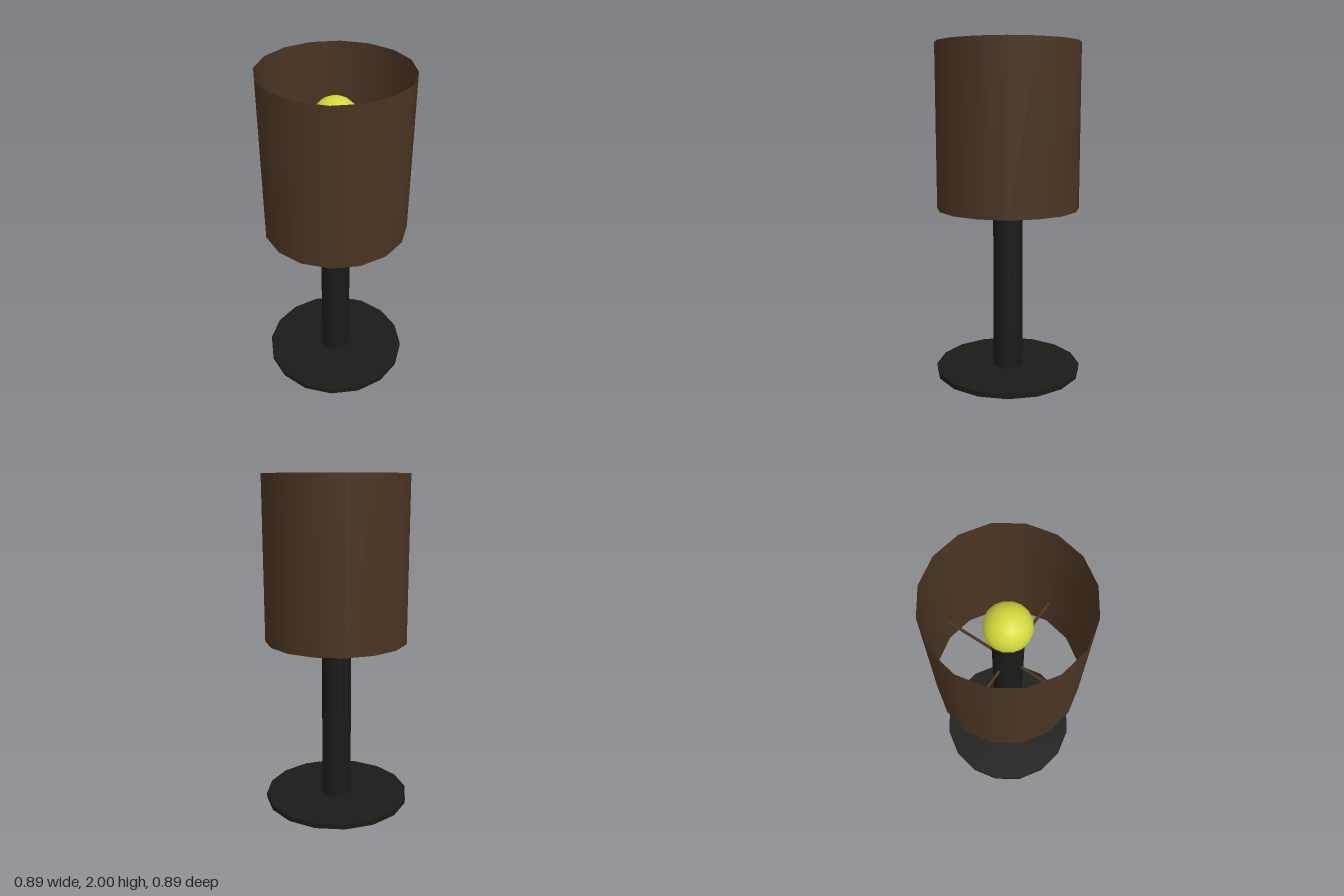
import * as THREE from 'three';

const SIDES = 16;

export function createModel() {
  const model = new THREE.Group();
  const black = new THREE.MeshStandardMaterial({ color: 0x1a1a19 });
  const brown = new THREE.MeshStandardMaterial({ color: 0x4a3422 });
  const shadeMaterial = new THREE.MeshStandardMaterial({ color: 0x4a3422, side: THREE.DoubleSide });
  const yellow = new THREE.MeshStandardMaterial({ color: 0xd2d83c });

  function add(name, geometry, material, y) {
    const mesh = new THREE.Mesh(geometry, material);
    mesh.name = name;
    mesh.position.y = y;
    model.add(mesh);
    return mesh;
  }

  // Upright cylinder between two heights
  function column(name, radius, bottom, top, material, open = false) {
    const geometry = new THREE.CylinderGeometry(radius, radius, top - bottom, SIDES, 1, open);
    return add(name, geometry, material, (bottom + top) / 2);
  }

  // Flat foot and stem reaching up to the bulb
  column('base', 0.445, 0, 0.03, black);
  column('stem', 0.09, 0.03, 1.62, black);

  // Thin shade, open at both ends
  column('shade', 0.43, 1.025, 2, shadeMaterial, true);

  // Round bulb
  add('bulb', new THREE.SphereGeometry(0.132, SIDES, 10), yellow, 1.717);

  // Crossed rods carrying the shade
  const rod = new THREE.CylinderGeometry(0.009, 0.009, 0.85, 8).rotateX(Math.PI / 2);
  for (let i = 0; i < 2; i++) {
    add('shadeRod', rod, brown, 1.28).rotation.y = i * Math.PI / 2;
  }

  return model;
}
